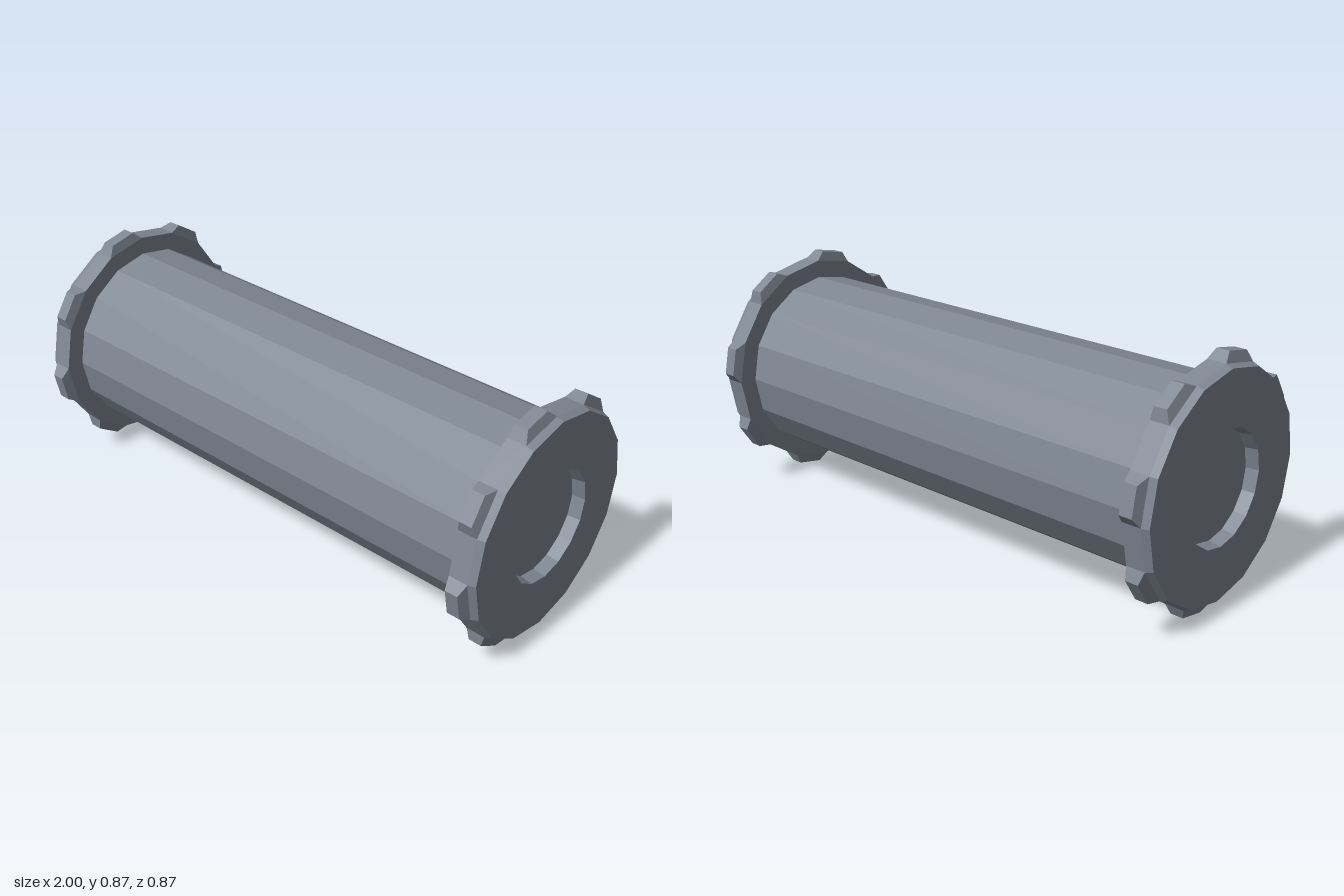
import * as THREE from 'three';
import { ConvexGeometry } from 'three/addons/geometries/ConvexGeometry.js';

const SIDES = 16;
const STEP = (Math.PI * 2) / SIDES;
const AXIS_Y = 0.437;
const INNER_X = 0.906, BEVEL_X = 0.975, OUTER_X = 1;
const RIM_RADIUS = 0.406, FACE_RADIUS = 0.396, TOOTH_HEIGHT = 0.434;

const material = new THREE.MeshStandardMaterial({ color: 0x808894, flatShading: true });

function addMesh(parent, name, geometry) {
  const mesh = new THREE.Mesh(geometry, material);
  mesh.name = name;
  parent.add(mesh);
}

// Flange with a bevelled rim and a shallow round recess in its outer face
function flangeGeometry(side) {
  const profile = [
    [0.3, INNER_X], [RIM_RADIUS, INNER_X], [RIM_RADIUS, BEVEL_X], [FACE_RADIUS, OUTER_X],
    [0.2, OUTER_X], [0.193, 0.955], [0, 0.955],
  ].map(([r, x]) => new THREE.Vector2(r, x));
  const geometry = new THREE.LatheGeometry(profile, SIDES).rotateZ(-Math.PI / 2);
  return side > 0 ? geometry : geometry.rotateY(Math.PI);
}

// Bevelled tooth covering one facet of the rim, starting at the given angle
function toothGeometry(side, angle) {
  const points = [];
  for (const x of [INNER_X, BEVEL_X]) {
    for (const a of [angle, angle + STEP]) {
      points.push(new THREE.Vector3(side * x, RIM_RADIUS * Math.cos(a), RIM_RADIUS * Math.sin(a)));
    }
  }
  const mid = angle + STEP / 2;
  for (const x of [0.915, 0.962]) {
    for (const t of [-0.051, 0.051]) {
      points.push(new THREE.Vector3(
        side * x,
        TOOTH_HEIGHT * Math.cos(mid) - t * Math.sin(mid),
        TOOTH_HEIGHT * Math.sin(mid) + t * Math.cos(mid),
      ));
    }
  }
  return new ConvexGeometry(points);
}

export function createModel() {
  const model = new THREE.Group();
  model.name = 'flangedRoller';

  // Faceted barrel between the flanges
  const roller = new THREE.Group();
  roller.name = 'roller';
  roller.position.y = AXIS_Y;
  model.add(roller);
  const barrel = new THREE.CylinderGeometry(0.34, 0.34, INNER_X * 2, SIDES, 1, true);
  addMesh(roller, 'barrel', barrel.rotateZ(-Math.PI / 2));

  // Mirrored end flanges, a tooth on every second facet
  for (const side of [-1, 1]) {
    const end = new THREE.Group();
    end.name = side > 0 ? 'leftEnd' : 'rightEnd';
    roller.add(end);
    addMesh(end, 'flange', flangeGeometry(side));
    for (let i = 0; i < SIDES; i += 2) addMesh(end, 'tooth', toothGeometry(side, i * STEP));
  }
  return model;
}
